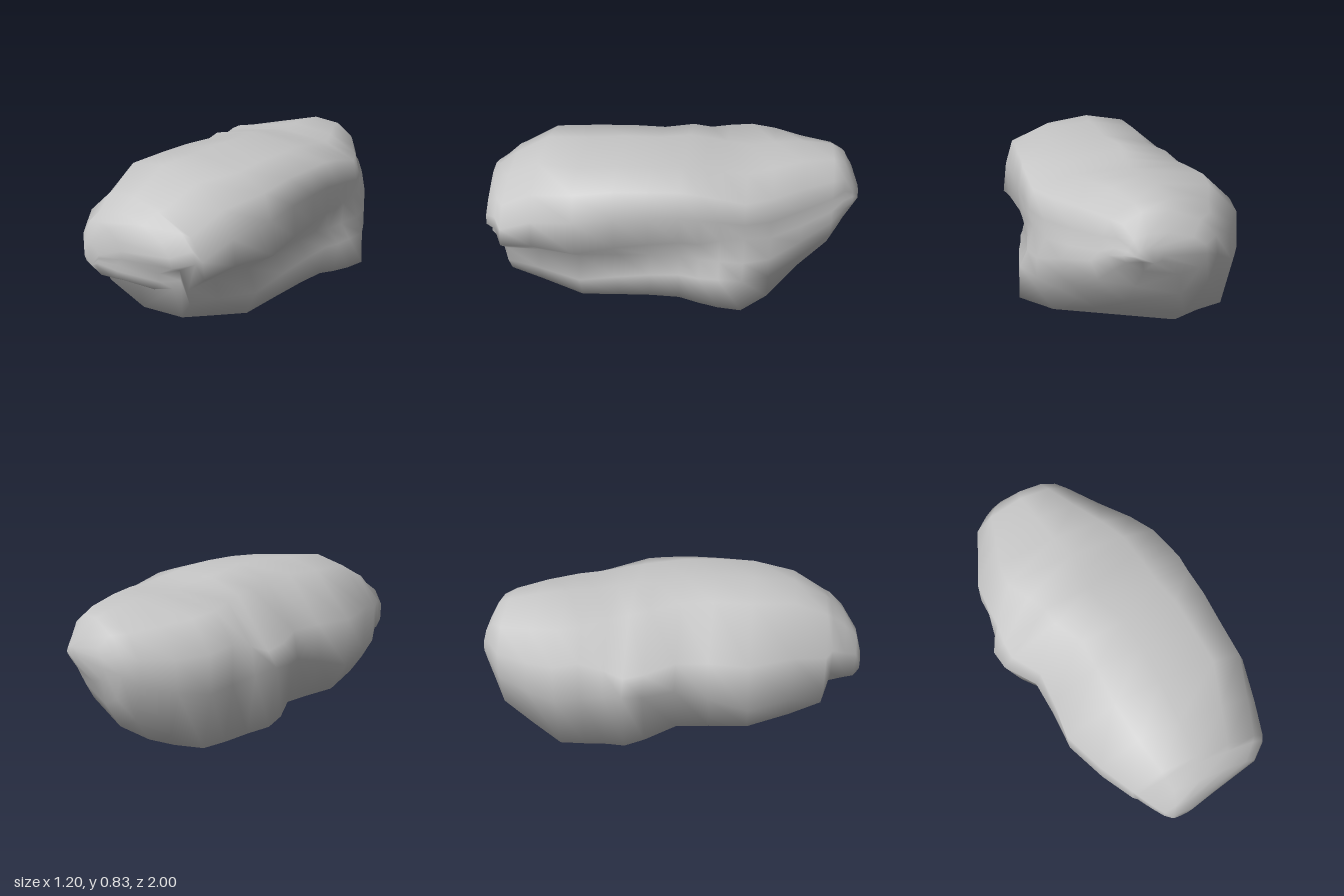
import * as THREE from 'three';

// Unit cross-sections (0..1 inside each ring's bounds), counter-clockwise from the base.
// Each one applies at its z; rings between two of them blend.
const profiles = [
  // Nose: shoulder sloping down on the right
  { z: 0.8, points: [
    [0.45, 0], [0.8, 0.06], [0.87, 0.2], [0.86, 0.32], [1, 0.46], [0.98, 0.6], [0.89, 0.77],
    [0.68, 0.93], [0.45, 1], [0.21, 0.96], [0.01, 0.67], [0.02, 0.33], [0.13, 0.12]] },
  // Front: overhang above a deep groove on the right
  { z: 0.45, points: [
    [0.5, 0], [0.83, 0.04], [0.89, 0.2], [0.84, 0.35], [1, 0.49], [0.98, 0.7], [0.94, 0.87],
    [0.79, 0.96], [0.5, 1], [0.26, 0.95], [0, 0.67], [0.01, 0.33], [0.12, 0.13]] },
  // Waist: shelf low on the left
  { z: -0.2, points: [
    [0.4, 0], [0.96, 0.08], [0.98, 0.3], [0.92, 0.39], [0.96, 0.55], [0.97, 0.74], [0.95, 0.91],
    [0.78, 0.97], [0.5, 1], [0.28, 0.93], [0.06, 0.62], [0, 0.53], [0.05, 0.1]] },
  // Back: lower lobe standing out on the right
  { z: -0.4, points: [
    [0.33, 0], [1, 0.11], [0.98, 0.34], [0.94, 0.45], [0.91, 0.62], [0.93, 0.74], [0.91, 0.88],
    [0.74, 0.97], [0.47, 1], [0.13, 0.95], [0, 0.77], [0, 0.5], [0.06, 0.07]] },
  // Rear: undercut on the right, crown dropping to the left
  { z: -0.75, points: [
    [0.33, 0], [0.75, 0.12], [0.95, 0.33], [1, 0.5], [0.94, 0.58], [0.92, 0.7], [0.87, 0.85],
    [0.7, 0.98], [0.45, 1], [0.17, 0.87], [0.02, 0.68], [0, 0.46], [0.08, 0.14]] },
];

// Ring bounds along the boulder: z, left x, right x, bottom y, top y.
const rings = [
  [1.0, -0.09, 0.02, 0.37, 0.48],
  [0.97, -0.13, 0.15, 0.32, 0.59],
  [0.91, -0.18, 0.42, 0.3, 0.64],
  [0.84, -0.23, 0.5, 0.29, 0.7],
  [0.81, -0.24, 0.53, 0.13, 0.72],
  [0.64, -0.34, 0.56, 0.08, 0.81],
  [0.42, -0.43, 0.6, 0.03, 0.82],
  [0.22, -0.44, 0.58, 0.05, 0.83],
  [0.05, -0.46, 0.57, 0.07, 0.825],
  [-0.1, -0.58, 0.555, 0.07, 0.815],
  [-0.2, -0.6, 0.55, 0.05, 0.8],
  [-0.3, -0.56, 0.55, 0.035, 0.785],
  [-0.42, -0.54, 0.55, 0.02, 0.765],
  [-0.55, -0.55, 0.48, 0.0, 0.77],
  [-0.7, -0.5, 0.35, 0.07, 0.765],
  [-0.86, -0.44, 0.21, 0.18, 0.74],
  [-0.92, -0.36, 0.14, 0.3, 0.71],
  [-0.97, -0.3, 0.08, 0.42, 0.62],
  [-1.0, -0.1, 0.03, 0.49, 0.56],
];

// Point j of the blended cross-section at a given z.
function sectionPoint(z, j) {
  let k = 0;
  while (k < profiles.length - 2 && z < profiles[k + 1].z) k++;
  const [from, to] = [profiles[k], profiles[k + 1]];
  const t = THREE.MathUtils.clamp((from.z - z) / (from.z - to.z), 0, 1);
  return new THREE.Vector2(...from.points[j]).lerp(new THREE.Vector2(...to.points[j]), t);
}

// Lofts the rings from front to back and closes both ends.
function loftBoulder() {
  const positions = [];
  const index = [];
  const n = profiles[0].points.length;
  for (const [z, xl, xr, yb, yt] of rings) {
    for (let j = 0; j < n; j++) {
      const p = sectionPoint(z, j);
      positions.push(xl + p.x * (xr - xl), yb + p.y * (yt - yb), z);
    }
  }
  for (let i = 0; i < rings.length - 1; i++) {
    for (let j = 0; j < n; j++) {
      const a = i * n + j;
      const b = i * n + ((j + 1) % n);
      index.push(a, a + n, b, b, a + n, b + n);
    }
  }
  // End caps
  const last = (rings.length - 1) * n;
  for (let j = 1; j < n - 1; j++) {
    index.push(0, j, j + 1);
    index.push(last, last + j + 1, last + j);
  }
  const geometry = new THREE.BufferGeometry();
  geometry.setAttribute('position', new THREE.Float32BufferAttribute(positions, 3));
  geometry.setIndex(index);
  geometry.computeVertexNormals();
  return geometry;
}

export function createModel() {
  const group = new THREE.Group();
  group.name = 'rock';
  const stone = new THREE.MeshStandardMaterial({ color: 0xc6c6c6 });
  stone.name = 'grey stone';
  const boulder = new THREE.Mesh(loftBoulder(), stone);
  boulder.name = 'boulder';
  group.add(boulder);
  return group;
}
